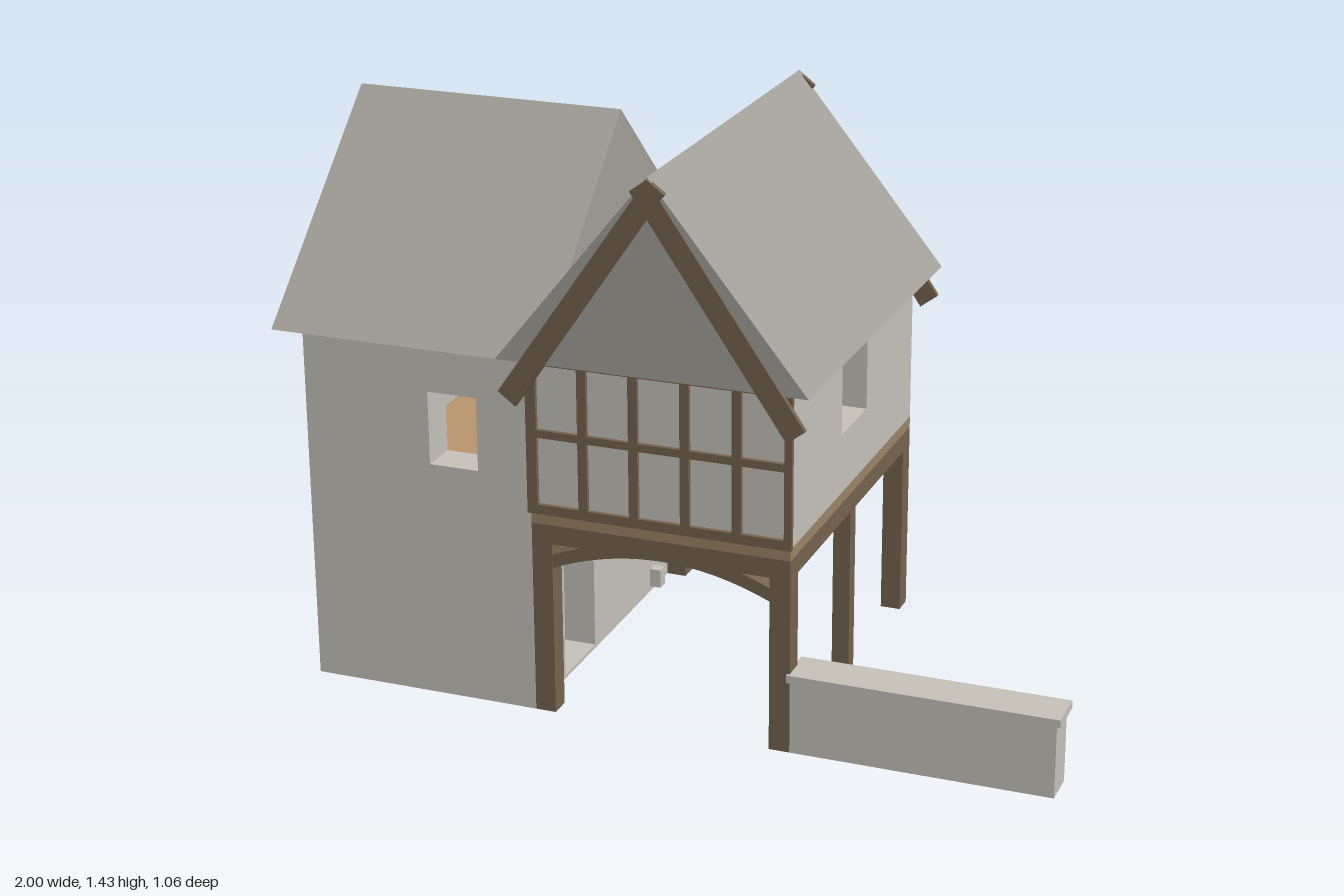
import * as THREE from 'three';

const mat = (name, color, side = THREE.FrontSide) => {
  const m = new THREE.MeshStandardMaterial({ color, side });
  m.name = name;
  return m;
};

export function createModel() {
  const house = new THREE.Group();
  house.name = 'house';
  const plaster = mat('plaster', 0xc6c2b9);
  const slate = mat('slate', 0xa3a098);
  const timber = mat('dark timber', 0x75634f);
  const oak = mat('light oak', 0x9a8467);
  const boards = mat('floorboards', 0xb8946c);

  const add = (name, geometry, material) => {
    const mesh = new THREE.Mesh(geometry, material);
    mesh.name = name;
    house.add(mesh);
    return mesh;
  };
  // Box given by its limits on each axis
  const box = (name, material, x0, x1, y0, y1, z0, z1) => {
    const mesh = add(name, new THREE.BoxGeometry(x1 - x0, y1 - y0, z1 - z0), material);
    mesh.position.set((x0 + x1) / 2, (y0 + y1) / 2, (z0 + z1) / 2);
    return mesh;
  };
  // Outline with rectangular holes [a0, a1, b0, b1], extruded along z
  const slab = (points, holes, z0, z1) => {
    const shape = new THREE.Shape(points.map(([a, b]) => new THREE.Vector2(a, b)));
    for (const [a0, a1, b0, b1] of holes) {
      shape.holes.push(new THREE.Path([
        new THREE.Vector2(a0, b0), new THREE.Vector2(a0, b1),
        new THREE.Vector2(a1, b1), new THREE.Vector2(a1, b0)]));
    }
    const geometry = new THREE.ExtrudeGeometry(shape, { depth: z1 - z0, bevelEnabled: false });
    return geometry.translate(0, 0, z0);
  };
  const rect = (a0, a1, b0, b1) => [[a0, b0], [a1, b0], [a1, b1], [a0, b1]];
  // Wall in the zy plane: outline uses -z as its first axis, depth runs along x
  const sideWall = (name, y0, y1, holes, x0, x1) =>
    add(name, slab(rect(-0.37, 0.37, y0, y1), holes, x0, x1).rotateY(Math.PI / 2), plaster);

  const L = -0.945, P = -0.34, R = 0.33, EAVE = 0.94;

  // Long walls, stepped over the open passage
  const outline = [[L, 0], [P, 0], [P, 0.535], [R, 0.535], [R, EAVE], [L, EAVE]];
  add('frontWall', slab(outline, [[-0.61, -0.48, 0.62, 0.81]], 0.37, 0.47), plaster);
  add('backWall', slab(outline, [[-0.725, -0.57, 0.64, 0.86], [-0.725, -0.57, 0.18, 0.39]], -0.47, -0.37), plaster);

  // End walls and the wall with the doorway
  sideWall('wingEndWall', 0, EAVE, [[-0.1, 0.095, 0.69, 0.875], [-0.1, 0.095, 0.19, 0.39]], L, L + 0.1);
  sideWall('passageWall', 0, 0.505, [[-0.285, -0.095, 0.01, 0.395]], P - 0.1, P);
  sideWall('rightUpperWall', 0.535, EAVE, [[-0.1, 0.095, 0.69, 0.875]], R - 0.1, R);

  // Floors
  box('groundFloor', slate, L + 0.1, P - 0.1, 0.002, 0.01, -0.37, 0.37);
  box('upperFloor', oak, P, R, 0.505, 0.535, -0.47, 0.47);
  box('wingUpperFloor', oak, L + 0.1, P, 0.505, 0.535, -0.37, 0.37);
  box('floorboards', boards, L + 0.1, R - 0.1, 0.535, 0.54, -0.37, 0.37);

  // Underside of the inner stair
  box('stairTread', timber, -0.75, -0.5, 0.385, 0.41, 0.095, 0.165);
  box('stairRiser', timber, -0.75, -0.5, 0.35, 0.385, 0.095, 0.12);

  // Posts of the passage
  for (const [z0, z1] of [[0.415, 0.47], [-0.47, -0.415]]) {
    box('cornerPost', timber, P, -0.287, 0, 0.505, z0, z1);
    box('cornerPost', timber, 0.277, R, 0, 0.505, z0, z1);
    box('crossBeam', timber, -0.287, 0.277, 0.455, 0.505, z0, z1);
  }
  box('middlePost', timber, 0.285, R, 0, 0.455, -0.02, 0.02);
  box('sideBeam', timber, 0.277, R, 0.455, 0.505, -0.415, 0.415);

  // Curved braces under the cross beams
  const lower = [], upper = [];
  for (let i = 0; i <= 20; i++) {
    const t = i / 10 - 1;
    const y = 0.452 - 0.062 * t * t;
    lower.push([-0.005 + 0.285 * t, y]);
    upper.unshift([-0.005 + 0.285 * t, y + 0.035]);
  }
  for (const z of [0.4425, -0.4425]) {
    add('archBrace', slab([...lower, ...upper], [], z - 0.025, z + 0.025), timber);
  }

  // Timber framing on the front of the upper floor
  const panels = [];
  for (let i = 0; i < 5; i++) {
    const x0 = -0.318 + i * 0.1315;
    panels.push([x0, x0 + 0.108, 0.56, 0.734], [x0, x0 + 0.108, 0.754, 0.92]);
  }
  add('timberFrame', slab(rect(-0.345, 0.335, 0.535, EAVE), panels, 0.468, 0.481), timber);

  // Two crossing gable roofs
  const RIDGE = 1.43, E = 0.525, C = -0.005;
  add('mainRoof', slab([[C - 0.395, EAVE], [C + 0.395, EAVE], [C, RIDGE]], [], -E, E), slate);
  add('wingRoof', slab([[-E, EAVE], [E, EAVE], [0, RIDGE]], [], -1, -0.287).rotateY(Math.PI / 2), slate);

  // Crossed bargeboards on both gables
  for (const z of [0.522, -0.522]) {
    for (const s of [1, -1]) {
      const pts = [[-0.388, 0.861], [-0.343, 0.827], [0.043, 1.393], [0, 1.425]]
        .map(([x, y]) => [C + s * x, y]);
      add('bargeboard', slab(pts, [], z - 0.007, z + 0.007), timber);
    }
  }

  // Small hanging lamp
  box('lamp', plaster, -0.018, 0.009, 0.398, 0.443, 0.47, 0.498);

  // Low garden wall with coping
  box('gardenWall', plaster, R, 0.99, 0, 0.19, 0.377, 0.47);
  box('gardenWallCoping', plaster, 0.323, 1, 0.19, 0.21, 0.367, 0.479);

  return house;
}
